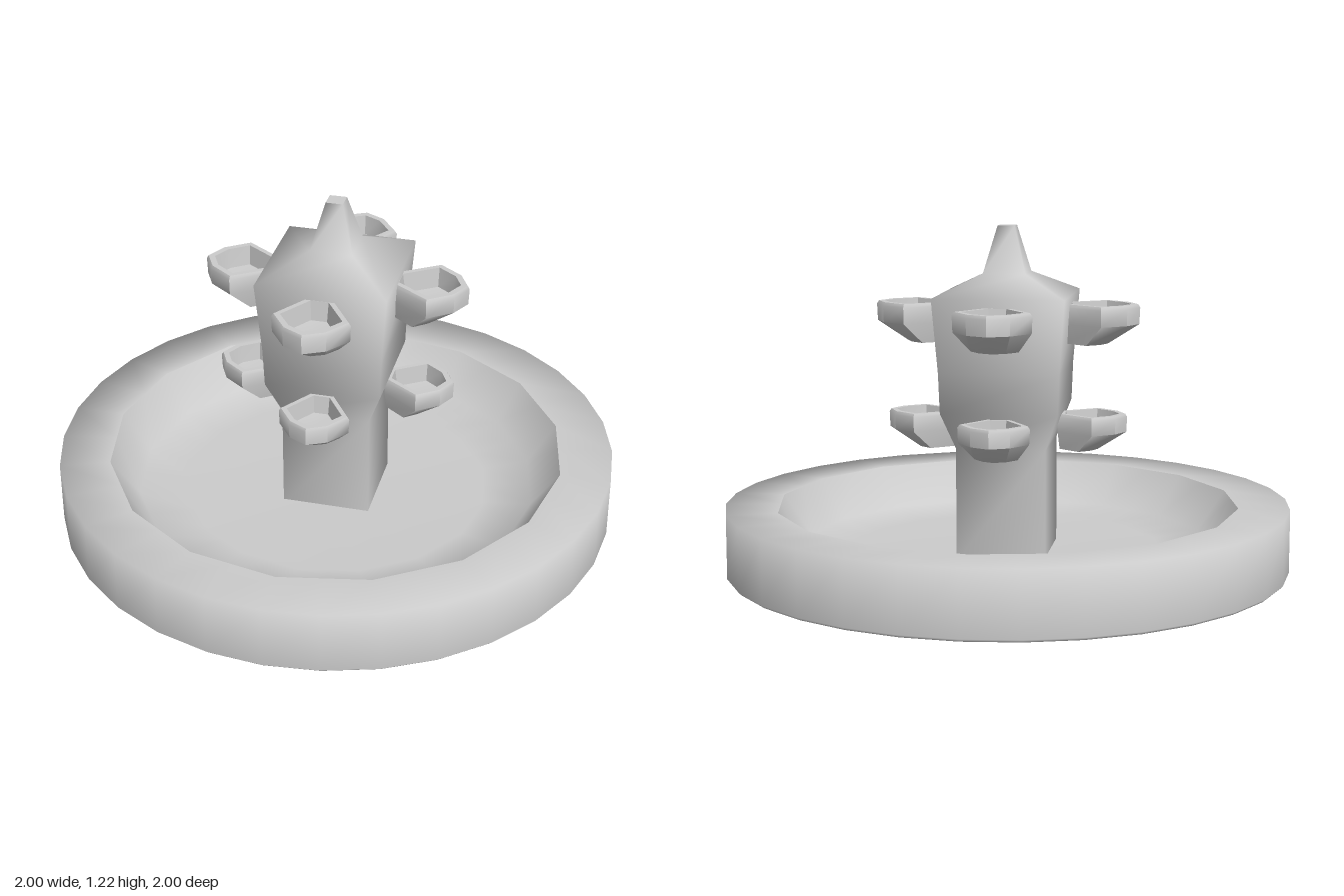
import * as THREE from 'three';
import { toCreasedNormals } from 'three/addons/utils/BufferGeometryUtils.js';

const material = new THREE.MeshStandardMaterial({ color: 0xcccccc });

// Skins a stack of equal-length closed loops of [x, y, z]; crease null = fully smooth
function loft(name, loops, crease = null) {
  const n = loops[0].length;
  const index = [];
  for (let i = 0; i < loops.length - 1; i++) {
    for (let j = 0; j < n; j++) {
      const k = (j + 1) % n;
      const a = i * n + j, b = i * n + k, c = a + n, d = b + n;
      index.push(a, b, d, a, d, c);
    }
  }
  let geometry = new THREE.BufferGeometry();
  geometry.setAttribute('position', new THREE.Float32BufferAttribute(loops.flat(2), 3));
  geometry.setIndex(index);
  geometry.computeVertexNormals();
  if (crease !== null) geometry = toCreasedNormals(geometry, crease);
  const mesh = new THREE.Mesh(geometry, material);
  mesh.name = name;
  return mesh;
}

// Regular polygon loop
function ring(r, y, sides, offset = 0) {
  return Array.from({ length: sides }, (_, i) => {
    const a = offset + (i / sides) * Math.PI * 2;
    return [r * Math.sin(a), y, r * Math.cos(a)];
  });
}

// 32-point loop whose odd points sit on the chords, so it reads as 16-sided
function coarseRing(r, y) {
  const loop = ring(r, y, 32);
  return loop.map((p, i) => {
    if (i % 2 === 0) return p;
    const a = loop[i - 1], b = loop[(i + 1) % 32];
    return [(a[0] + b[0]) / 2, y, (a[2] + b[2]) / 2];
  });
}

function createBasin() {
  const basin = new THREE.Group();
  basin.name = 'basin';
  basin.add(
    loft('basinBase', [ring(0, 0, 32), ring(1, 0, 32)]),
    loft('basinRim', [ring(0.99, 0, 32), ring(1, 0.01, 32), ring(1, 0.235, 32), coarseRing(0.82, 0.235)]),
    loft('basinBowl', [coarseRing(0.82, 0.235), coarseRing(0.72, 0.09), coarseRing(0.55, 0.07), ring(0, 0.07, 32)]),
  );
  return basin;
}

// Square pillar: [half width, height]
function createPillar() {
  const profile = [
    [0.157, 0.05], [0.157, 0.45], [0.205, 0.58], [0.21, 0.72],
    [0.23, 0.98], [0.075, 1.055], [0.03, 1.22],
  ];
  const square = ([w, y]) => ring(w * Math.SQRT2, y, 4, Math.PI / 4);
  const pillar = new THREE.Group();
  pillar.name = 'pillar';
  pillar.add(
    loft('pillarShaft', profile.map(square)),
    loft('pillarTip', [square([0.03, 1.22]), square([0, 1.22])]),
  );
  return pillar;
}

// Kite-shaped spout bowl pointing to +z
function createSpout(name) {
  const half = [[0.075, 0.43], [0.137, 0.345], [0.04, 0.2]];
  const outline = [[0, 0.468], ...half, ...half.map(([x, z]) => [-x, z]).reverse()];
  // Scales the outline about the bowl's middle
  const loop = (sx, sz, y, mid = 0.33) =>
    outline.map(([x, z]) => [x * sx, y, mid + (z - 0.33) * sz]);
  return loft(name, [
    loop(0, 0, 0, 0.28),
    loop(0.6, 0.55, 0, 0.28),
    loop(0.98, 0.98, 0.07),
    loop(1, 1, 0.128),
    loop(0.94, 0.95, 0.14),
    loop(0.78, 0.78, 0.14),
    loop(0.7, 0.7, 0.07),
    loop(0, 0, 0.06),
  ], 0.8);
}

export function createModel() {
  const fountain = new THREE.Group();
  fountain.name = 'fountain';
  fountain.add(createBasin(), createPillar());

  // Two tiers of spouts, one on each side of the pillar
  const tiers = [['upperSpout', 0.81, 1], ['lowerSpout', 0.435, 0.91]];
  for (const [name, y, scale] of tiers) {
    for (let i = 0; i < 4; i++) {
      const spout = createSpout(name);
      spout.position.y = y;
      spout.scale.setScalar(scale);
      spout.rotation.y = (i * Math.PI) / 2;
      fountain.add(spout);
    }
  }
  return fountain;
}
